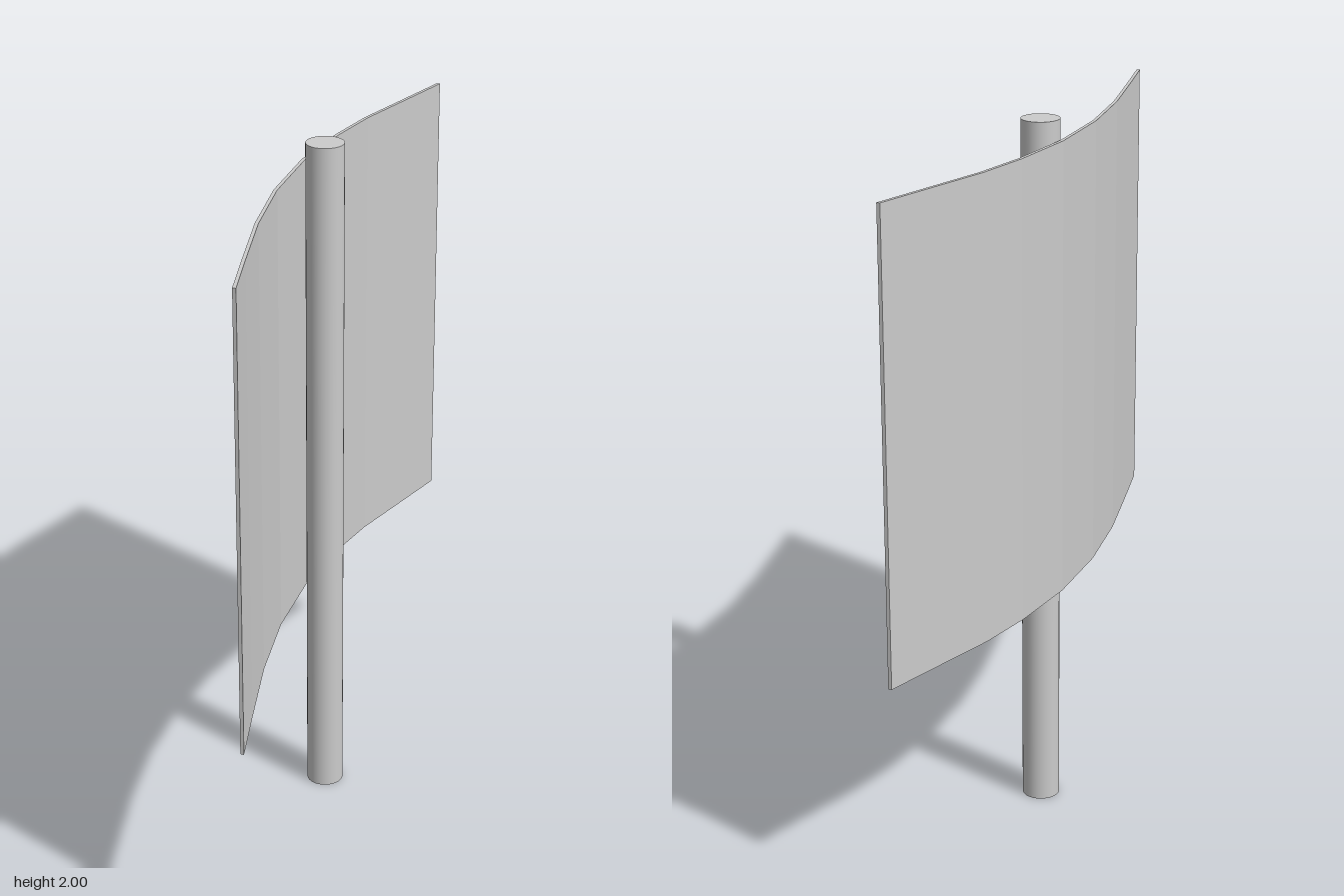
import * as THREE from 'three';

const material = new THREE.MeshStandardMaterial({ color: 0xcccccc });

export function createModel() {
  const model = new THREE.Group();
  model.name = 'signOnPole';

  // Round upright pole
  const pole = new THREE.Mesh(new THREE.CylinderGeometry(0.053, 0.053, 2, 32), material);
  pole.name = 'pole';
  pole.position.set(-0.025, 1, -0.075);
  model.add(pole);

  // Thin bent panel: centre line in plan as [x, z], from back to front
  const bend = [
    [0.045, -0.84], [-0.007, -0.63], [-0.047, -0.47], [-0.073, -0.3], [-0.087, -0.075],
    [-0.07, 0.175], [-0.025, 0.42], [0.037, 0.66], [0.085, 0.84],
  ];
  const half = 0.005;
  const side = (offset) => bend.map(([x, z]) => new THREE.Vector2(x + offset, -z));
  const outline = new THREE.Shape([...side(-half), ...side(half).reverse()]);
  const panelGeometry = new THREE.ExtrudeGeometry(outline, { depth: 1.295, bevelEnabled: false });
  panelGeometry.rotateX(-Math.PI / 2);
  const panel = new THREE.Mesh(panelGeometry, material);
  panel.name = 'curvedPanel';
  panel.position.y = 0.65;
  model.add(panel);

  return model;
}
